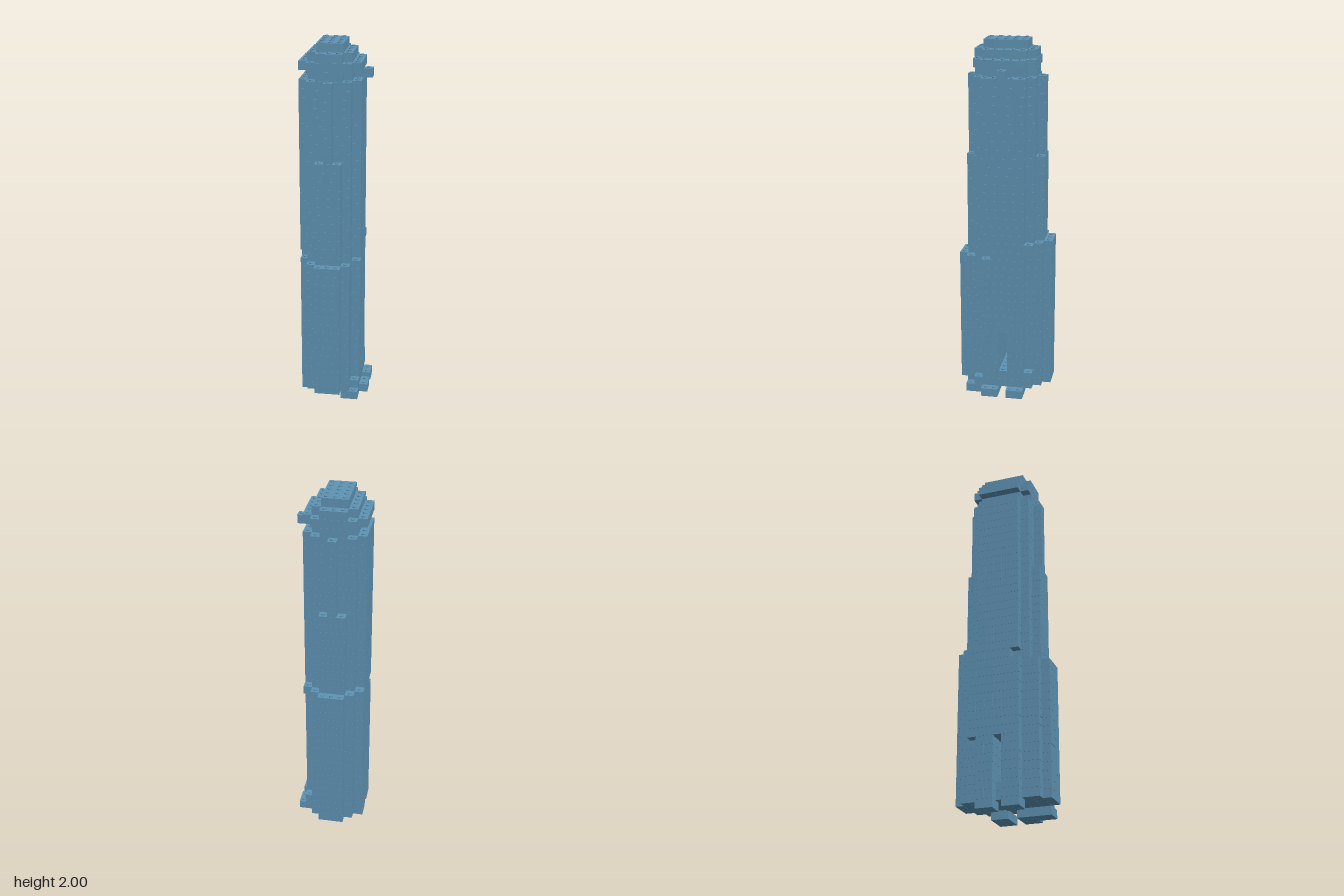
import * as THREE from 'three';
import { mergeGeometries } from 'three/addons/utils/BufferGeometryUtils.js';

const U = 0.0473;            // brick width
const H = 0.0475;            // layer height
const GAP = 0.0006;          // joint between bricks
const STUD = 0.005;
const NI = 8, NJ = 11, NK = 42;

const left = i => (i - NI / 2) * U;
const back = j => (j - NJ / 2) * U;

export function createModel() {
  const cells = new Set();
  const key = (i, j, k) => i + NI * (j + NJ * k);
  const has = (i, j, k) => i >= 0 && i < NI && cells.has(key(i, j, k));

  // fill or clear a block of cells: x range, z range, layer range (inclusive)
  const block = (add, [i0, i1], [j0, j1], [k0, k1]) => {
    for (let k = k0; k <= k1; k++)
      for (let j = j0; j <= j1; j++)
        for (let i = i0; i <= i1; i++)
          add ? cells.add(key(i, j, k)) : cells.delete(key(i, j, k));
  };
  const fill = (...r) => block(true, ...r);
  const clear = (...r) => block(false, ...r);

  // feet and low steps
  for (const j of [[3, 4], [6, 7]]) {
    fill([0, 1], j, [0, 0]);
    fill([5, 7], j, [0, 0]);
  }
  fill([5, 6], [8, 9], [0, 0]);
  fill([6, 6], [8, 8], [1, 1]);
  fill([6, 6], [2, 2], [1, 2]);

  // core shaft
  fill([0, 6], [3, 7], [1, 37]);
  fill([1, 5], [2, 2], [1, 37]);
  fill([1, 5], [8, 8], [1, 37]);

  // wide lower shoulders, front and back
  fill([1, 5], [9, 9], [1, 16]);
  fill([2, 4], [10, 10], [1, 16]);
  fill([1, 5], [1, 1], [1, 18]);
  fill([2, 4], [0, 0], [1, 18]);
  fill([0, 0], [2, 2], [8, 18]);
  fill([6, 6], [2, 2], [18, 18]);

  // middle setback and slim ribs above it
  for (const j of [1, 9]) {
    fill([2, 4], [j, j], [17, 28]);
    fill([3, 3], [j, j], [29, 37]);
  }

  // corner notches and the slit through the base
  for (const i of [0, 6]) clear([i, i], [7, 7], [17, 17]);
  clear([0, 6], [5, 5], [3, 7]);
  clear([0, 0], [5, 5], [1, 2]);

  // stepped crown
  fill([1, 5], [3, 7], [38, 38]);
  fill([2, 4], [2, 8], [38, 38]);
  fill([6, 7], [5, 5], [38, 38]);
  fill([0, 6], [3, 7], [39, 39]);
  fill([1, 5], [2, 8], [39, 39]);
  fill([1, 5], [3, 7], [40, 40]);
  fill([2, 4], [2, 8], [40, 40]);
  fill([2, 4], [3, 7], [41, 41]);

  const material = new THREE.MeshStandardMaterial({ color: 0x5f93b3 });
  material.name = 'sandBlue';

  const model = new THREE.Group();
  model.name = 'brickTower';
  const sections = [
    ['base', 0, 0], ['lowerTower', 1, 18], ['upperTower', 19, 37], ['crown', 38, NK - 1],
  ];
  for (const [name, k0, k1] of sections) {
    const bricks = [], studs = [];
    for (let k = k0; k <= k1; k++)
      for (let j = 0; j < NJ; j++)
        for (let i = 0; i < NI; i++) {
          if (!has(i, j, k)) continue;
          // one long brick for each run of cells
          if (!has(i - 1, j, k)) {
            let n = 1;
            while (has(i + n, j, k)) n++;
            const g = new THREE.BoxGeometry(n * U - GAP, H - GAP, U - GAP);
            g.translate(left(i + n / 2), (k + 0.5) * H, back(j + 0.5));
            bricks.push(g);
          }
          // stud on every uncovered cell
          if (!has(i, j, k + 1)) {
            const s = new THREE.CylinderGeometry(0.0108, 0.0108, STUD, 16);
            s.translate(left(i + 0.5), (k + 1) * H + STUD / 2 - GAP / 2, back(j + 0.5));
            studs.push(s);
          }
        }
    const group = new THREE.Group();
    group.name = name;
    for (const [part, list] of [['Bricks', bricks], ['Studs', studs]]) {
      if (!list.length) continue;
      const mesh = new THREE.Mesh(mergeGeometries(list), material);
      mesh.name = name + part;
      group.add(mesh);
    }
    model.add(group);
  }
  return model;
}
